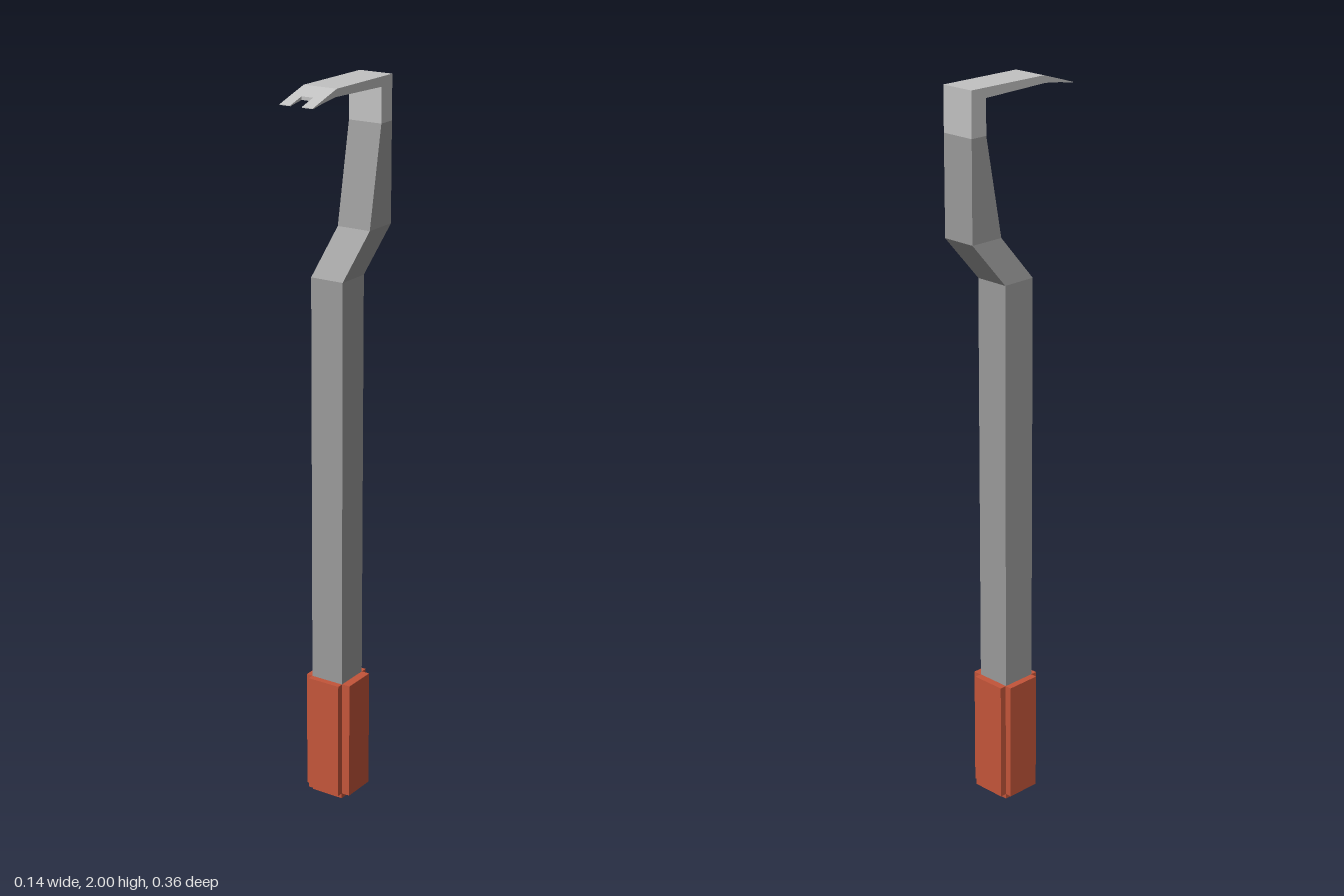
import * as THREE from 'three';

const mat = (name, color) => {
  const m = new THREE.MeshStandardMaterial({ color });
  m.name = name;
  return m;
};

export function createModel() {
  const group = new THREE.Group();
  const darkSteel = mat('dark steel', 0x9a9a9a);
  const lightSteel = mat('light steel', 0xc2c2c2);
  const grip = mat('orange grip', 0xc4553a);

  const add = (name, geometry, material) => {
    const mesh = new THREE.Mesh(geometry, material);
    mesh.name = name;
    group.add(mesh);
  };

  // Box given by its limits
  const box = (name, x0, x1, y0, y1, z0, z1, material) => {
    const g = new THREE.BoxGeometry(x1 - x0, y1 - y0, z1 - z0);
    g.translate((x0 + x1) / 2, (y0 + y1) / 2, (z0 + z1) / 2);
    add(name, g, material);
  };

  // Side profile of [z, y] points, extruded from x0 to x1
  const profile = (name, points, x0, x1, material) => {
    const shape = new THREE.Shape(points.map(([z, y]) => new THREE.Vector2(-z, y)));
    const g = new THREE.ExtrudeGeometry(shape, { depth: x1 - x0, bevelEnabled: false });
    g.rotateY(Math.PI / 2);
    g.translate(x0, 0, 0);
    add(name, g, material);
  };

  // Square bar lofted through sections [y, x0, x1, z0, z1]
  const sections = [
    [0.34, -0.052, 0.046, -0.084, 0.015],
    [1.49, -0.052, 0.046, -0.084, 0.015],
    [1.61, -0.031, 0.068, -0.178, -0.077],
    [1.88, -0.031, 0.068, -0.178, -0.128],
  ];
  const rings = sections.map(([y, x0, x1, z0, z1]) => [
    [x0, y, z1], [x1, y, z1], [x1, y, z0], [x0, y, z0],
  ]);
  const verts = [];
  for (let i = 0; i < rings.length - 1; i++) {
    for (let j = 0; j < 4; j++) {
      const k = (j + 1) % 4;
      const a = rings[i][j], b = rings[i][k], c = rings[i + 1][k], d = rings[i + 1][j];
      verts.push(...a, ...b, ...c, ...a, ...c, ...d);
    }
  }
  const bar = new THREE.BufferGeometry();
  bar.setAttribute('position', new THREE.Float32BufferAttribute(verts, 3));
  bar.computeVertexNormals();
  add('shaft', bar, darkSteel);

  // Hooked head, up to the notch
  profile('head', [
    [-0.178, 1.88], [-0.128, 1.88], [-0.128, 1.974], [0.08, 1.98],
    [0.131, 1.974], [0.131, 1.983], [0.075, 2], [-0.178, 2],
  ], -0.031, 0.068, lightSteel);

  // Two claw tines either side of the notch
  const tine = [[0.131, 1.974], [0.179, 1.966], [0.179, 1.968], [0.131, 1.983]];
  profile('rightTine', tine, -0.031, 0.001, lightSteel);
  profile('leftTine', tine, 0.035, 0.068, lightSteel);

  // Grip: core with a raised pad on each side
  box('gripCore', -0.052, 0.046, 0, 0.352, -0.084, 0.015, grip);
  box('gripSidePads', -0.071, 0.07, 0.015, 0.352, -0.085, 0.014, grip);
  box('gripFrontBackPads', -0.052, 0.046, 0.015, 0.352, -0.104, 0.033, grip);

  return group;
}
